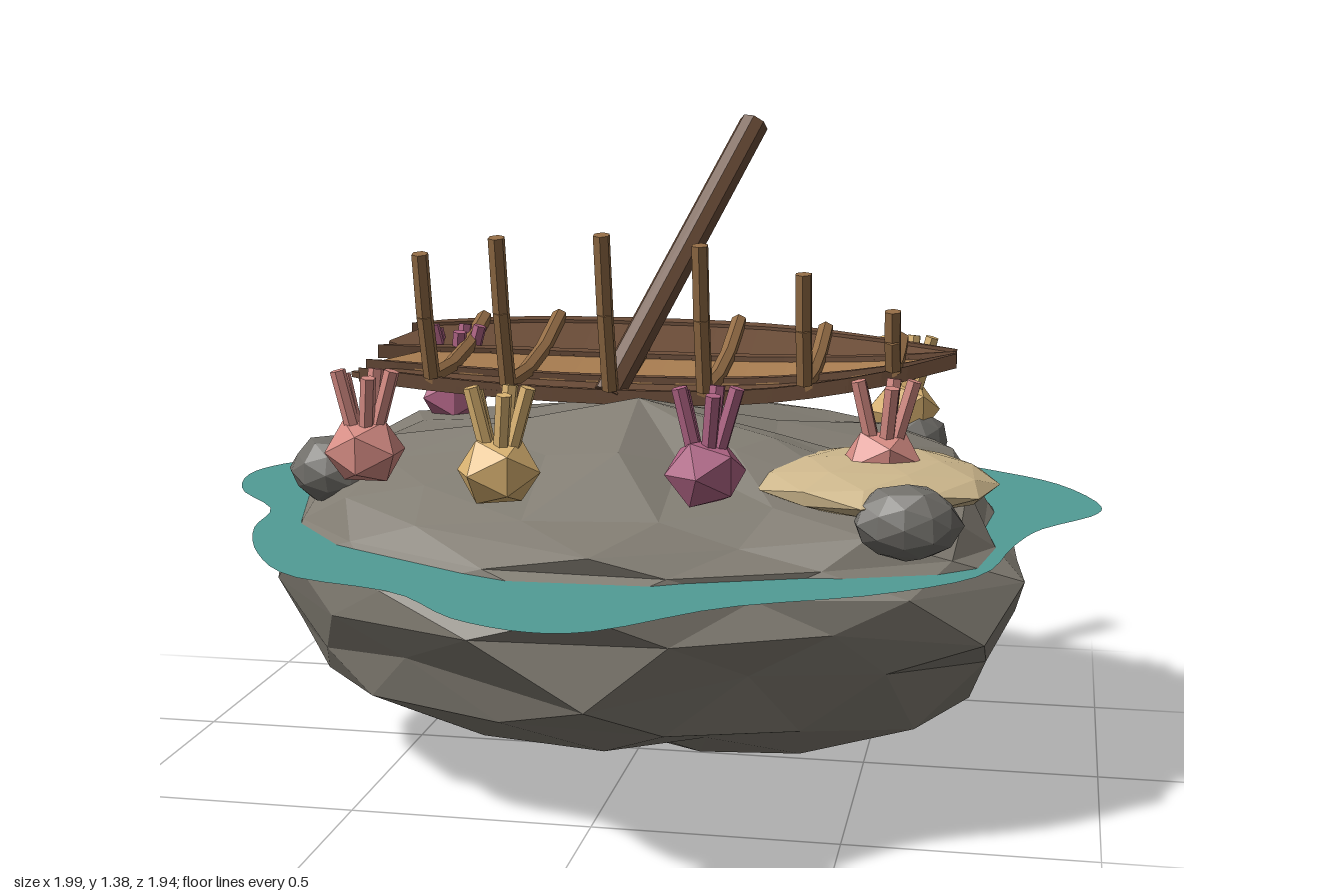
import * as THREE from 'three';

const mat = (name, color) => {
  const m = new THREE.MeshStandardMaterial({ color });
  m.name = name;
  m.flatShading = true;
  return m;
};
const V = (x, y, z) => new THREE.Vector3(x, y, z);

// seeded random in -1..1
function makeRandom(seed) {
  return () => {
    seed = (seed * 16807) % 2147483647;
    return (seed / 2147483647) * 2 - 1;
  };
}

// skin over closed cross-sections, with end caps
function loft(sections) {
  const pos = [];
  const tri = (...ps) => ps.forEach((p) => pos.push(p.x, p.y, p.z));
  for (let i = 0; i < sections.length - 1; i++) {
    const s = sections[i], t = sections[i + 1], n = s.length;
    for (let j = 0; j < n; j++) {
      const k = (j + 1) % n;
      if (i % 2 === 0) {
        tri(s[j], t[j], s[k]);
        tri(s[k], t[j], t[k]);
      } else {
        tri(s[j], t[j], t[k]);
        tri(s[j], t[k], s[k]);
      }
    }
  }
  const a = sections[0], b = sections[sections.length - 1];
  for (let j = 1; j < a.length - 1; j++) {
    tri(a[0], a[j], a[j + 1]);
    tri(b[0], b[j + 1], b[j]);
  }
  const g = new THREE.BufferGeometry();
  g.setAttribute('position', new THREE.Float32BufferAttribute(pos, 3));
  g.computeVertexNormals();
  return g;
}

export function createModel() {
  const group = new THREE.Group();
  const rockMat = mat('rock grey', 0x827d73);
  const pebbleMat = mat('pebble grey', 0x706e69);
  const waterMat = mat('water teal', 0x519c96);
  waterMat.side = THREE.DoubleSide;
  const sandMat = mat('sand', 0xcdb78c);
  const darkWood = mat('dark wood', 0x694b37);
  const tanWood = mat('tan wood', 0xa67b4f);
  const ribWood = mat('rib wood', 0x946d46);
  const pink = mat('pink coral', 0xd68c84);
  const magenta = mat('magenta coral', 0xb06485);
  const yellow = mat('yellow coral', 0xdcb573);

  const add = (name, geo, material, parent = group) => {
    const m = new THREE.Mesh(geo, material);
    m.name = name;
    parent.add(m);
    return m;
  };
  const rod = (name, a, b, r, material, parent, sides = 6) => {
    const m = add(name, new THREE.CylinderGeometry(r, r, a.distanceTo(b), sides), material, parent);
    m.position.copy(a).lerp(b, 0.5);
    m.quaternion.setFromUnitVectors(V(0, 1, 0), b.clone().sub(a).normalize());
  };

  // rock island: waterline outline scaled ring by ring, alternate rings staggered
  const outline = new THREE.CatmullRomCurve3([
    [0.76, 0.05], [0.77, 0.27], [0.59, 0.46], [0.31, 0.5], [0.02, 0.66], [-0.4, 0.48], [-0.62, 0.32], [-0.74, 0.06],
    [-0.77, -0.18], [-0.69, -0.5], [-0.32, -0.7], [0.06, -0.78], [0.37, -0.66], [0.59, -0.53], [0.73, -0.32], [0.74, -0.1],
  ].map(([x, z]) => V(x, 0, z)), true);
  const rnd = makeRandom(41);
  // height, scale, tilt of height along z, jitter
  const rings = [
    [0, 0, 0, 0], [0.06, 0.34, 0, 0.02], [0.125, 0.66, 0.02, 0.02], [0.2, 0.92, 0.04, 0.025],
    [0.3, 1.0, 0.02, 0.03], [0.4, 1.07, 0, 0.025], [0.48, 1.07, 0, 0.015], [0.54, 1.0, 0, 0.01],
    [0.62, 0.92, -0.08, 0.015], [0.66, 0.75, -0.05, 0.02], [0.71, 0.4, 0, 0.025], [0.79, 0, 0, 0],
  ];
  add('rockIsland', loft(rings.map(([y, s, tilt, jit], i) => Array.from({ length: 16 }, (_, j) => {
    const p = outline.getPoint((j + 0.5 * (i % 2)) / 16);
    const k = s * (1 + rnd() * jit);
    const shift = y < 0.1 ? -0.08 * (1 - s) : 0;
    return V(p.x * k, y + tilt * p.z + rnd() * jit, p.z * k + shift);
  }))), rockMat);

  // wavy sheet of water around the rock
  const shore = new THREE.CatmullRomCurve3([
    [-0.01, 0.97], [0.09, 0.95], [0.3, 0.74], [0.57, 0.59], [0.75, 0.41], [0.81, 0.14], [0.86, -0.02], [0.98, -0.2],
    [0.99, -0.3], [0.89, -0.53], [0.73, -0.67], [0.51, -0.82], [0.26, -0.97], [0.11, -0.92], [-0.02, -0.87], [-0.16, -0.91],
    [-0.36, -0.97], [-0.53, -0.92], [-0.67, -0.8], [-0.77, -0.62], [-0.96, -0.42], [-1, -0.29], [-0.95, -0.1], [-0.81, 0.09],
    [-0.78, 0.27], [-0.69, 0.49], [-0.56, 0.66], [-0.32, 0.75], [-0.16, 0.91],
  ].map(([x, z]) => V(x, -z, 0)), true).getPoints(110).slice(0, 110);
  const water = add('water', new THREE.ShapeGeometry(new THREE.Shape(shore.map((p) => new THREE.Vector2(p.x, p.y)))), waterMat);
  water.rotation.x = -Math.PI / 2;
  water.position.y = 0.53;

  // faceted lumps: sand patch and pebbles
  const lump = (name, material, jit, [x, y, z], [sx, sy, sz], seed) => {
    const g = new THREE.IcosahedronGeometry(1, 1);
    const p = g.attributes.position;
    for (let i = 0; i < p.count; i++) {
      const v = V(0, 0, 0).fromBufferAttribute(p, i);
      const h = Math.sin(v.x * 5.3 + seed) * Math.cos(v.z * 4.7 + seed * 2) + 0.5 * Math.sin(v.y * 6 + seed);
      v.multiplyScalar(1 + jit * h);
      p.setXYZ(i, v.x * sx, v.y * sy, v.z * sz);
    }
    g.computeVertexNormals();
    add(name, g, material).position.set(x, y, z);
  };
  lump('sandPatch', sandMat, 0.04, [0.525, 0.665, 0.175], [0.25, 0.05, 0.285], 1);
  lump('pebble', pebbleMat, 0.06, [-0.63, 0.64, 0.16], [0.105, 0.075, 0.08], 2);
  lump('pebble', pebbleMat, 0.06, [0.61, 0.635, 0.44], [0.105, 0.075, 0.07], 3);
  lump('pebble', pebbleMat, 0.06, [0.55, 0.64, -0.42], [0.095, 0.07, 0.08], 4);

  // coral: faceted body with a fan of stubby branches
  const coral = (material, x, y, z, turn) => {
    const c = new THREE.Group();
    c.name = 'coral';
    c.position.set(x, y, z);
    const body = add('coralBody', new THREE.IcosahedronGeometry(0.088, 0), material, c);
    body.scale.set(1, 0.85, 0.9);
    body.rotation.y = turn;
    for (let i = 0; i < 5; i++) {
      const a = (i * Math.PI * 2) / 5;
      const dx = Math.cos(a), dz = Math.sin(a) * 0.45;
      rod('coralBranch', V(dx * 0.02, 0.02, dz * 0.02), V(dx * 0.062, 0.17 - 0.012 * (i % 2), dz * 0.062), 0.0165, material, c);
    }
    group.add(c);
  };
  coral(pink, -0.53, 0.705, 0.27, 0);
  coral(yellow, -0.2, 0.705, 0.43, 0.5);
  coral(magenta, 0.21, 0.71, 0.39, 1);
  coral(pink, 0.54, 0.7, 0.17, 0.3);
  coral(yellow, 0.54, 0.71, -0.43, 0.8);
  coral(magenta, -0.53, 0.71, -0.43, 0.2);

  // shipwreck: heeled half hull between a keel curve and a rail curve
  const ship = new THREE.Group();
  ship.name = 'shipwreck';
  group.add(ship);
  const keel = new THREE.CatmullRomCurve3([V(-0.7, 0.805, -0.12), V(-0.4, 0.785, -0.09), V(-0.08, 0.775, -0.085),
    V(0.24, 0.785, -0.085), V(0.5, 0.825, -0.11), V(0.67, 0.865, -0.165)]);
  const rail = new THREE.CatmullRomCurve3([V(-0.7, 0.86, -0.48), V(-0.4, 0.868, -0.585), V(-0.08, 0.868, -0.615),
    V(0.24, 0.868, -0.55), V(0.5, 0.868, -0.37), V(0.67, 0.872, -0.185)]);
  const hull = (u, t, lift = 0) => {
    const a = keel.getPoint(u), b = rail.getPoint(u);
    const dip = 0.06 * Math.abs(a.z - b.z) * Math.sin(Math.PI * t);
    const p = a.lerp(b, t);
    p.y += lift - dip;
    return p;
  };
  // plank along the hull, broken to a point at the stern
  const plank = (name, material, t0, t1, u0, lift, thick) => {
    const sections = [];
    for (let i = 0; i <= 16; i++) {
      const u = i === 0 ? u0 : u0 + 0.05 + ((1 - u0 - 0.05) * (i - 1)) / 15;
      const tip = t0 + (t1 - t0) * 0.35, w = i === 0 ? 0.06 : 1;
      const a = tip + (t0 - tip) * w, b = tip + (t1 - tip) * w;
      sections.push([hull(u, a, lift), hull(u, b, lift), hull(u, b, lift - thick), hull(u, a, lift - thick)]);
    }
    add(name, loft(sections), material, ship);
  };
  plank('lowerStrake', darkWood, 0, 0.34, 0, 0, 0.013);
  plank('middleStrake', tanWood, 0.33, 0.66, 0.02, 0.004, 0.013);
  plank('upperStrake', darkWood, 0.65, 1, 0.01, 0.008, 0.013);
  [[0, 0.02], [0.33, 0.005], [0.65, 0.0], [0.97, 0.03]].forEach(([t, u]) =>
    plank('wale', darkWood, t, t + 0.035, u, 0.016, 0.032));

  // ribs: across the planking, then up as bare posts
  [[0.14, 1.09, -0.02], [0.255, 1.13, 0], [0.4, 1.14, 0.005], [0.53, 1.12, -0.01], [0.68, 1.06, -0.04], [0.84, 0.98, -0.08]]
    .forEach(([u, top, z]) => {
      const p = [1, 0.66, 0.33, 0].map((t) => hull(u, t, 0.018));
      const tip = V(p[3].x, top, z);
      const mid = p[3].clone().lerp(tip, 0.5);
      mid.z += 0.008;
      p.push(mid, tip);
      for (let i = 0; i < p.length - 1; i++) rod('rib', p[i], p[i + 1], 0.019, ribWood, ship);
    });

  // fallen mast
  rod('mast', V(-0.09, 0.775, -0.105), V(0.165, 1.355, -0.575), 0.035, darkWood, ship, 8);
  return group;
}
